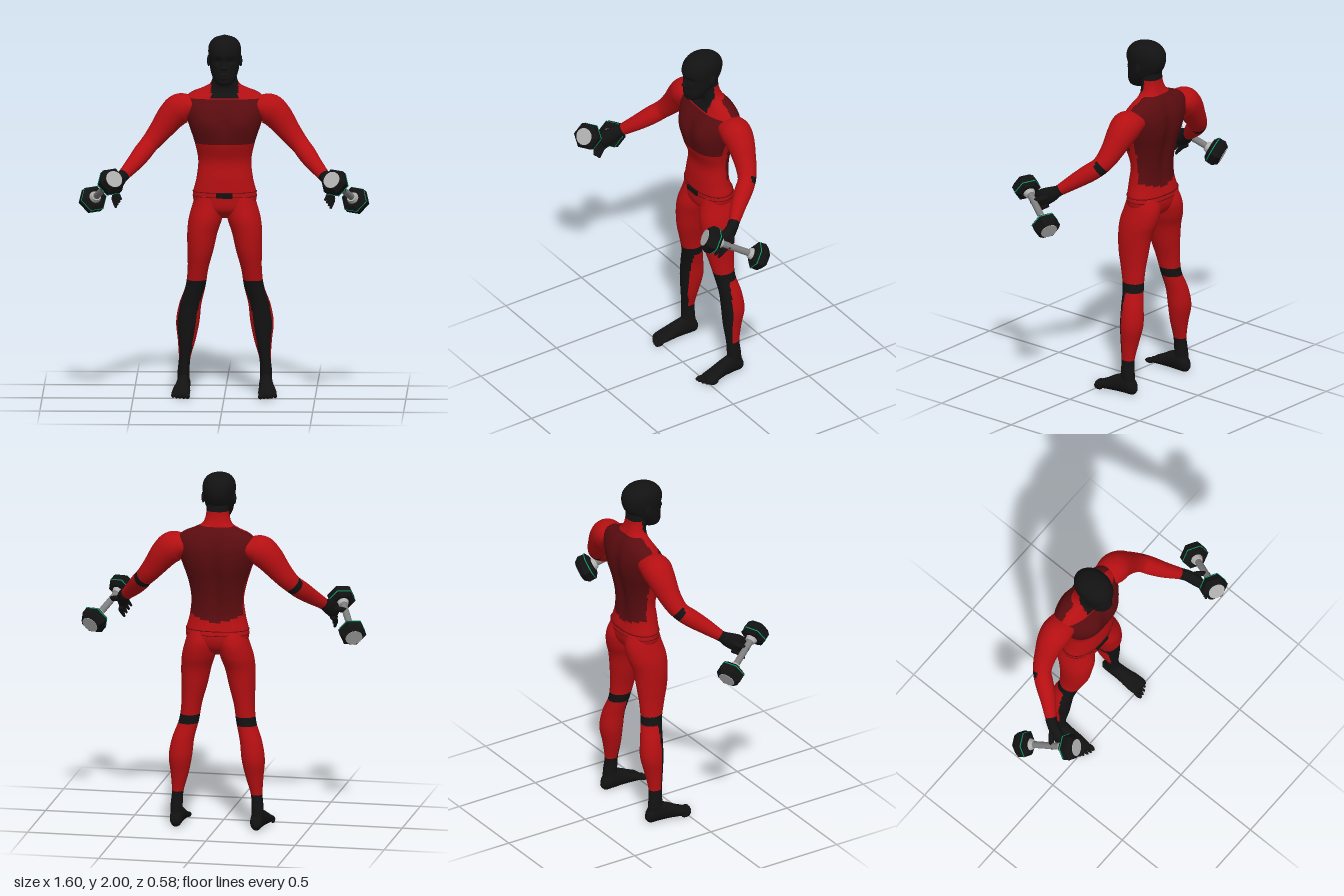
import * as THREE from 'three';

const mat = (name, color) => Object.assign(new THREE.MeshStandardMaterial({ color }), { name });
const V3 = (x, y, z) => new THREE.Vector3(x, y, z);
const UP = V3(0, 1, 0), FRONT = V3(0, 0, 1);
const bump = (d, w) => Math.exp(-(d * d) / (w * w));

// Smooth closed loft. Rows: [x, y, z, radiusU, radiusV]; U points towards ref, V sideways.
// axis fixes the ring direction; paint(point, rowPosition) picks a material index.
function loft(name, rows, materials, { axis, ref = FRONT, n = 32, steps = 8, power = 1, sculpt, paint } = {}) {
  const centre = new THREE.CatmullRomCurve3(rows.map(r => V3(r[0], r[1], r[2])), false, 'catmullrom');
  const radius = new THREE.CatmullRomCurve3(rows.map(r => V3(r[3], r[4], 0)), false, 'catmullrom');
  const m = (rows.length - 1) * steps, pts = [];
  const shape = v => Math.sign(v) * Math.abs(v) ** power;
  for (let i = 0; i <= m; i++) {
    const c = centre.getPoint(i / m), r = radius.getPoint(i / m);
    const T = axis || centre.getTangent(i / m);
    const V = T.clone().cross(ref).normalize(), U = V.clone().cross(T);
    for (let j = 0; j < n; j++) {
      const a = (j / n) * Math.PI * 2;
      const p = c.clone().addScaledVector(U, r.x * shape(Math.cos(a))).addScaledVector(V, r.y * shape(Math.sin(a)));
      if (sculpt) sculpt(p);
      pts.push(p);
    }
  }
  const first = pts.push(centre.getPoint(0)) - 1, last = pts.push(centre.getPoint(1)) - 1;
  const list = Array.isArray(materials) ? materials : [materials];
  const faces = list.map(() => []);
  const add = (f, ...ids) => {
    const mid = ids.reduce((s, k) => s.add(pts[k]), V3(0, 0, 0)).divideScalar(ids.length);
    const out = faces[paint ? paint(mid, f) : 0];
    for (let k = 1; k < ids.length - 1; k++) out.push(ids[0], ids[k], ids[k + 1]);
  };
  for (let j = 0; j < n; j++) {
    const k = (j + 1) % n;
    add(0, first, k, j);
    for (let i = 0; i < m; i++) add((i + 0.5) / steps, i * n + j, i * n + k, (i + 1) * n + k, (i + 1) * n + j);
    add(rows.length - 1, last, m * n + j, m * n + k);
  }
  const g = new THREE.BufferGeometry().setFromPoints(pts);
  g.setIndex(faces.flat());
  let start = 0;
  faces.forEach((f, i) => { g.addGroup(start, f.length, i); start += f.length; });
  g.computeVertexNormals();
  const mesh = new THREE.Mesh(g, list.length > 1 ? list : list[0]);
  mesh.name = name;
  return mesh;
}

export function createModel() {
  const model = new THREE.Group();
  model.name = 'athlete';
  const red = mat('suit red', 0xb40f12), maroon = mat('dark red', 0x5a0c0f), black = mat('black', 0x121212);
  const silver = mat('silver', 0xb0b0b0), steel = mat('steel', 0x7c7c7c), green = mat('green', 0x08a070);
  const suit = [red, maroon, black];

  const part = (name, geo, material, pos, scale, parent = model) => {
    const mesh = new THREE.Mesh(geo, material);
    mesh.name = name;
    mesh.position.set(...pos);
    if (scale) mesh.scale.set(...scale);
    parent.add(mesh);
    return mesh;
  };

  // Torso and neck, with chest and spine grooves
  model.add(loft('torso', [
    [0, 0.985, -0.165, 0.04, 0.04], [0, 1.03, -0.167, 0.092, 0.14], [0, 1.1, -0.173, 0.104, 0.176],
    [0, 1.2, -0.165, 0.09, 0.156], [0, 1.3, -0.17, 0.087, 0.146], [0, 1.4, -0.163, 0.112, 0.165],
    [0, 1.5, -0.17, 0.13, 0.198], [0, 1.58, -0.182, 0.122, 0.222], [0, 1.635, -0.192, 0.1, 0.222],
    [0, 1.675, -0.195, 0.079, 0.185], [0, 1.7, -0.19, 0.066, 0.125], [0, 1.725, -0.18, 0.06, 0.082],
    [0, 1.77, -0.168, 0.056, 0.065], [0, 1.84, -0.16, 0.056, 0.062],
  ], suit, {
    axis: UP, n: 72, power: 0.92,
    sculpt: p => {
      const back = p.z < -0.18;
      if (back) p.z += 0.02 * bump(p.x, 0.035) * bump(p.y - 1.45, 0.24);
      else p.z += (0.012 * bump(Math.abs(p.x) - 0.09, 0.06) - 0.012 * bump(p.x, 0.025)) * bump(p.y - 1.52, 0.08);
    },
    paint: p => {
      const ax = Math.abs(p.x);
      if (p.y > 1.65 && p.z > -0.165 && ax < 0.075) return 2;
      if (p.y > 1.795) return 2;
      if (p.z > -0.15 && p.y > 1.4 && p.y < 1.645) return 1;
      if (p.z < -0.19 && p.y > 1.17 + 0.3 * ax && p.y < 1.715) return 1;
      return 0;
    },
  }));

  // Waist seams and buckle
  for (const y of [1.103, 1.128])
    model.add(loft('waistSeam', [0, 0.003].map(d => [0, y + d, -0.172, 0.105, 0.177]), maroon,
      { axis: UP, n: 72, steps: 1, power: 0.92 }));
  part('buckle', new THREE.BoxGeometry(0.09, 0.028, 0.012), black, [0, 1.115, -0.066]);

  // Head with eye hollows, brow, lips
  model.add(loft('head', [
    [0, 1.728, -0.075, 0.025, 0.022], [0, 1.74, -0.073, 0.05, 0.044], [0, 1.77, -0.083, 0.067, 0.063],
    [0, 1.81, -0.108, 0.092, 0.077], [0, 1.86, -0.125, 0.112, 0.085], [0, 1.91, -0.128, 0.121, 0.09],
    [0, 1.95, -0.13, 0.109, 0.085], [0, 1.982, -0.131, 0.075, 0.06], [0, 1.999, -0.131, 0.02, 0.016],
  ], black, {
    axis: UP, n: 48,
    sculpt: p => {
      if (p.z < -0.08) return;
      p.z -= 0.014 * bump(Math.abs(p.x) - 0.034, 0.018) * bump(p.y - 1.868, 0.015);
      p.z += 0.006 * bump(p.x, 0.022) * (bump(p.y - 1.793, 0.008) + bump(p.y - 1.775, 0.006));
    },
  }));
  model.add(loft('nose', [
    [0, 1.822, -0.018, 0.012, 0.012], [0, 1.83, -0.012, 0.015, 0.017],
    [0, 1.85, -0.016, 0.012, 0.01], [0, 1.882, -0.022, 0.008, 0.008],
  ], black, { axis: UP, n: 16, steps: 5 }));

  const ball = new THREE.SphereGeometry(1, 16, 12);
  for (const s of [1, -1]) {
    const side = s > 0 ? 'left' : 'right';
    const flip = rows => rows.map(([x, ...r]) => [x * s, ...r]);
    part(side + 'Ear', ball, black, [0.088 * s, 1.858, -0.138], [0.009, 0.032, 0.018]);

    // Leg: black shin, knee band and ankle; red calf and thigh
    model.add(loft(side + 'Leg', flip([
      [0.226, 0.05, -0.192, 0.042, 0.033], [0.227, 0.12, -0.187, 0.041, 0.033], [0.221, 0.2, -0.183, 0.039, 0.032],
      [0.21, 0.3, -0.187, 0.052, 0.049], [0.204, 0.4, -0.195, 0.065, 0.064], [0.19, 0.5, -0.188, 0.063, 0.061],
      [0.161, 0.6, -0.17, 0.06, 0.055], [0.147, 0.7, -0.158, 0.073, 0.057], [0.134, 0.8, -0.15, 0.09, 0.071],
      [0.123, 0.9, -0.152, 0.101, 0.083], [0.106, 0.98, -0.165, 0.114, 0.092], [0.09, 1.06, -0.178, 0.108, 0.086],
      [0.08, 1.14, -0.172, 0.083, 0.072],
    ]), suit, {
      axis: UP, n: 48,
      paint: p => {
        if (p.y > 0.632) return 0;
        const edge = p.x * s < 0.18 ? -0.15 : -0.162;
        return p.y > 0.2 && p.y < 0.582 && p.z < edge ? 0 : 2;
      },
    }));

    // Foot and toes
    model.add(loft(side + 'Foot', flip([
      [0.225, 0.035, -0.245, 0.012, 0.012], [0.225, 0.045, -0.225, 0.042, 0.032], [0.226, 0.058, -0.18, 0.057, 0.037],
      [0.23, 0.05, -0.115, 0.049, 0.04], [0.236, 0.034, -0.055, 0.033, 0.049], [0.239, 0.022, -0.005, 0.021, 0.05],
      [0.239, 0.016, 0.012, 0.012, 0.042],
    ]), black, { axis: FRONT, ref: UP, steps: 5 }));
    for (let i = 0; i < 5; i++)
      part(side + 'Toe', ball, black, [s * (0.201 + i * 0.02), 0.014, 0.02 - i * i * 0.0025],
        [i ? 0.01 : 0.014, 0.014, 0.028]);

    // Arm with elbow patch and glove cuff
    model.add(loft(side + 'Arm', flip([
      [0.17, 1.6, -0.19, 0.075, 0.055], [0.24, 1.585, -0.19, 0.086, 0.084], [0.29, 1.545, -0.188, 0.079, 0.08],
      [0.345, 1.475, -0.178, 0.064, 0.066], [0.385, 1.425, -0.165, 0.056, 0.057], [0.42, 1.385, -0.143, 0.05, 0.051],
      [0.452, 1.348, -0.1, 0.05, 0.051], [0.49, 1.305, -0.045, 0.044, 0.045], [0.535, 1.26, 0.01, 0.034, 0.036],
      [0.56, 1.235, 0.04, 0.028, 0.032],
    ]), suit, {
      paint: (p, f) => (f > 8.5 || (f > 4.7 && f < 5.25 && p.z < -0.145) ? 2 : 0),
    }));

    // Hand
    model.add(loft(side + 'Palm', flip([
      [0.555, 1.24, 0.035, 0.03, 0.032], [0.575, 1.22, 0.065, 0.042, 0.03],
      [0.59, 1.195, 0.11, 0.048, 0.03], [0.595, 1.178, 0.145, 0.04, 0.024],
    ]), black, { ref: UP, n: 20, steps: 5 }));
    for (let i = 0; i < 4; i++) {
      const y = 1.195 - i * 0.017, z = 0.15 - i * 0.016;
      model.add(loft(side + 'Finger', flip([
        [0.592, y + 0.01, z - 0.02, 0.013, 0.014], [0.59 + i * 0.004, y - 0.015, z + 0.02, 0.013, 0.013],
        [0.575 + i * 0.007, y - 0.04, z + 0.043, 0.011, 0.011], [0.56 + i * 0.01, y - 0.062, z + 0.056, 0.006, 0.006],
      ]), black, { n: 12, steps: 4 }));
    }
    model.add(loft(side + 'Thumb', flip([
      [0.585, 1.21, 0.07, 0.016, 0.016], [0.625, 1.198, 0.095, 0.016, 0.016],
      [0.658, 1.188, 0.125, 0.012, 0.012], [0.67, 1.178, 0.14, 0.006, 0.006],
    ]), black, { n: 12, steps: 4, ref: UP }));

    // Six-sided dumbbell, built along y and turned onto its axis
    const bell = new THREE.Group();
    bell.name = side + 'Dumbbell';
    const a = V3(0.613 * s, 1.235, 0.22), b = V3(0.725 * s, 1.098, -0.02);
    bell.position.copy(a).add(b).multiplyScalar(0.5);
    bell.quaternion.setFromUnitVectors(UP, a.sub(b).normalize());
    const profile = [[0, 0.104], [0.052, 0.104], [0.075, 0.12], [0.077, 0.164], [0.056, 0.189], [0, 0.189]];
    const hex = new THREE.LatheGeometry(profile.map(p => new THREE.Vector2(...p)), 6).toNonIndexed();
    hex.computeVertexNormals();
    part('handle', new THREE.CylinderGeometry(0.019, 0.019, 0.22, 16), steel, [0, 0, 0], null, bell);
    for (const e of [0, Math.PI]) {
      const end = new THREE.Group();
      end.name = 'weightEnd';
      end.rotation.x = e;
      bell.add(end);
      part('weight', hex, black, [0, 0, 0], null, end);
      part('greenStripe', new THREE.CylinderGeometry(0.0775, 0.0775, 0.005, 6), green, [0, 0.126, 0], null, end);
      part('endPlate', new THREE.CylinderGeometry(0.047, 0.047, 0.005, 24), silver, [0, 0.189, 0], null, end);
      part('collar', new THREE.CylinderGeometry(0.034, 0.026, 0.022, 20), silver, [0, 0.094, 0], null, end);
    }
    model.add(bell);
  }
  return model;
}
